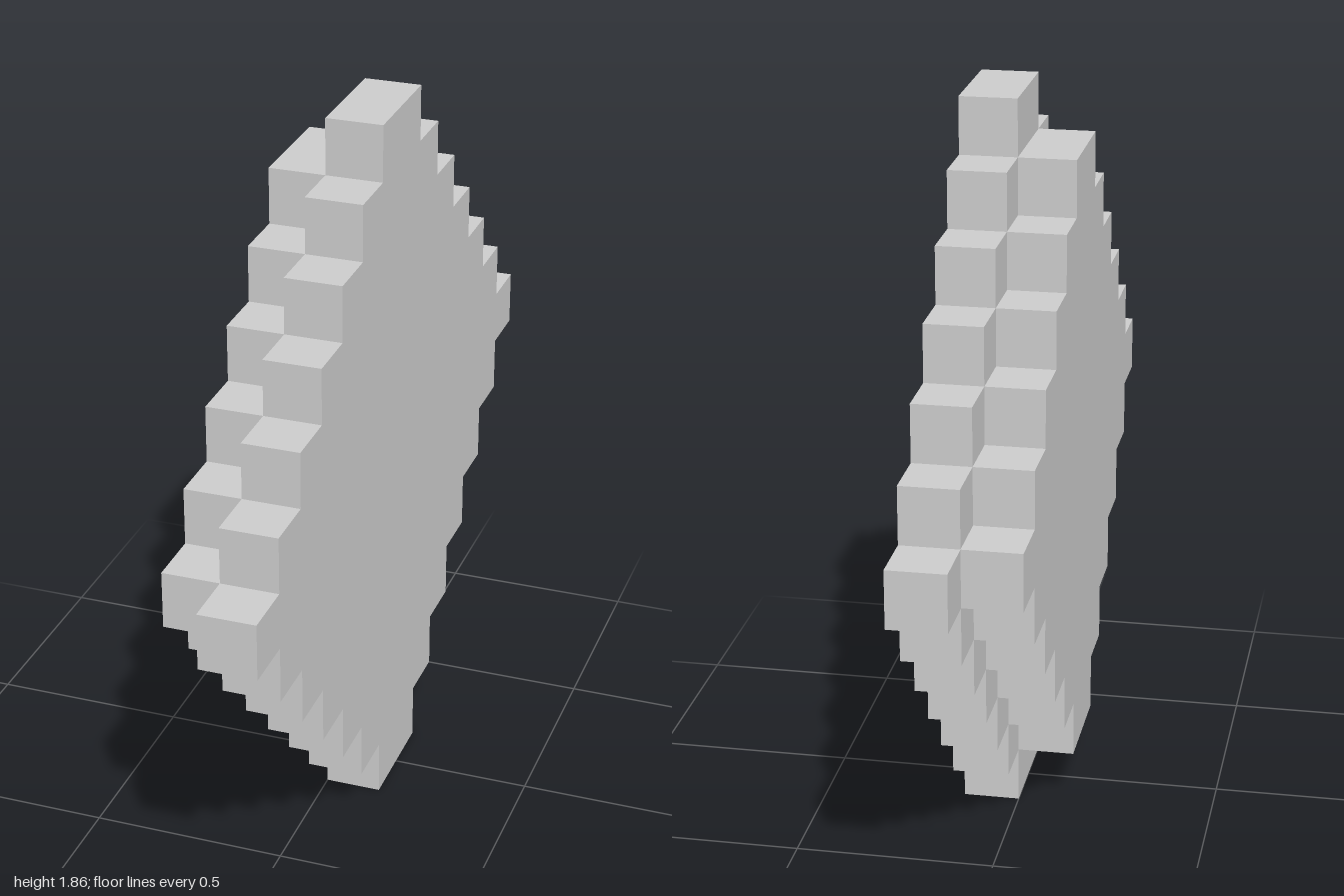
import * as THREE from 'three';

const U = 1 / 7; // edge of one block
const CENTRE_Y = 6.5 * U;

// Stepped diamond: widest row spans 2 * n blocks, each row above and below loses one block per side
function steppedDiamond(n) {
  const right = [];
  for (let k = 1; k <= n; k++) { // bottom to widest row
    right.push([k, k - n - 0.5], [k, k - n + 0.5]);
  }
  for (let k = n - 1; k >= 1; k--) { // back in to the top
    right.push([k, n - k - 0.5], [k, n - k + 0.5]);
  }
  const left = right.map(([z, y]) => [-z, y]).reverse();
  return new THREE.Shape([...right, ...left].map(([z, y]) => new THREE.Vector2(z * U, y * U)));
}

export function createModel() {
  const group = new THREE.Group();
  group.name = 'steppedDiamondSlab';
  const material = new THREE.MeshStandardMaterial({ color: 0xcccccc, flatShading: true });

  function addLayer(name, n, x) {
    const geometry = new THREE.ExtrudeGeometry(steppedDiamond(n), { depth: U, bevelEnabled: false });
    geometry.rotateY(Math.PI / 2); // thickness runs along x
    const mesh = new THREE.Mesh(geometry, material);
    mesh.name = name;
    mesh.position.set(x, CENTRE_Y, 0);
    group.add(mesh);
  }

  addLayer('largeLayer', 7, 0);
  addLayer('smallLayer', 6, -U);
  return group;
}
